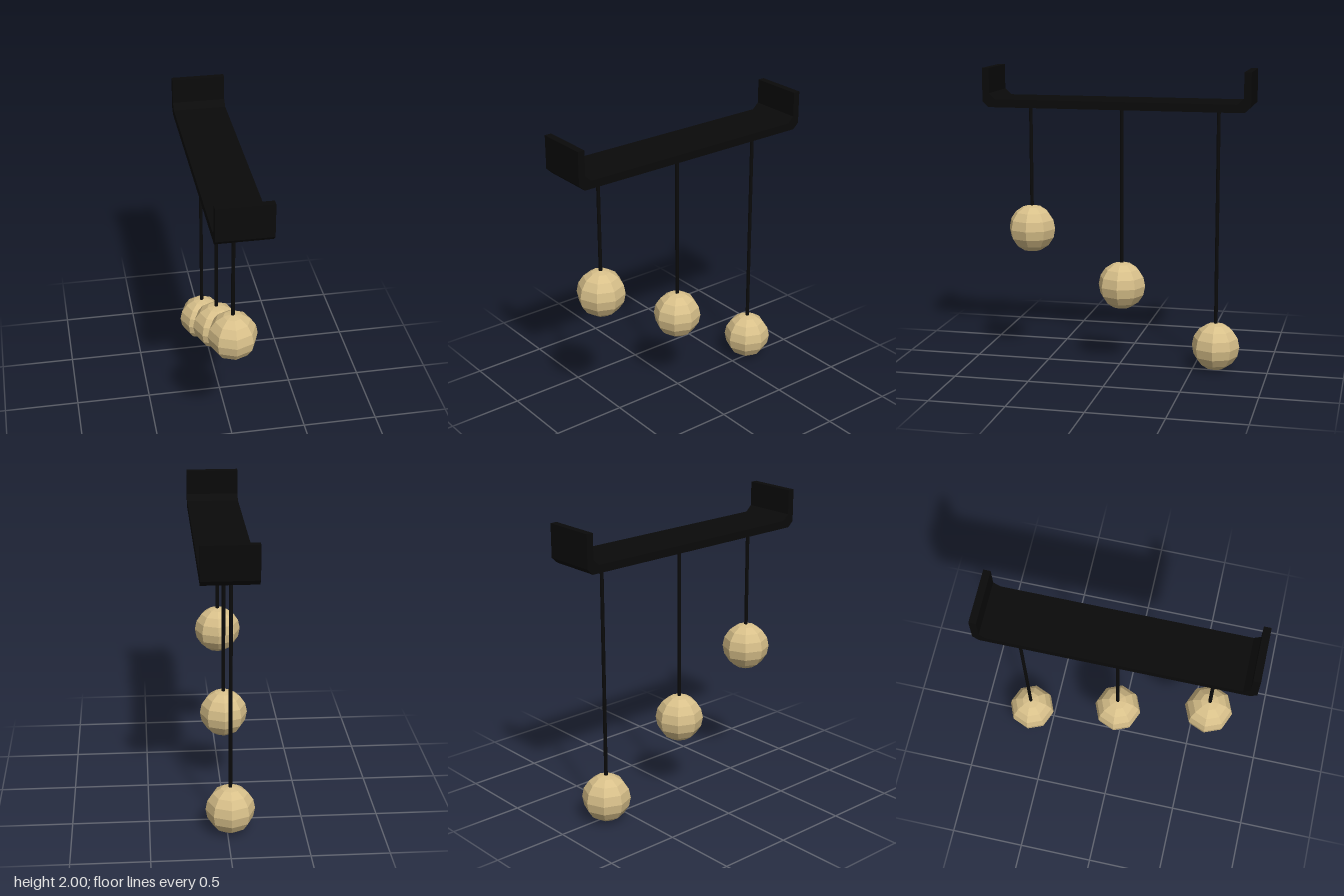
import * as THREE from 'three';

const black = new THREE.MeshStandardMaterial({ color: 0x0a0a0a, flatShading: true });
const sand = new THREE.MeshStandardMaterial({ color: 0xd8c08a, flatShading: true });

// Ceiling tray: chamfered U profile drawn in (z, y), extruded across x
function createTray() {
  const half = [[0.84, 1.745], [0.88, 1.783], [0.88, 2], [0.834, 2], [0.834, 1.836], [0.792, 1.797]];
  const mirrored = half.map(([z, y]) => [-z, y]).reverse();
  const shape = new THREE.Shape([...half, ...mirrored].map(([z, y]) => new THREE.Vector2(z, y)));
  const geometry = new THREE.ExtrudeGeometry(shape, { depth: 0.354, bevelEnabled: false });
  geometry.translate(0, 0, -0.177).rotateY(Math.PI / 2);
  const tray = new THREE.Mesh(geometry, black);
  tray.name = 'ceilingTray';
  return tray;
}

// Pendant: thin cord with a faceted globe at its end
function createPendant(z, y) {
  const pendant = new THREE.Group();
  pendant.name = 'pendant';
  const radius = 0.16, trayBottom = 1.76;

  const globe = new THREE.Mesh(new THREE.SphereGeometry(radius, 8, 8), sand);
  globe.name = 'globe';
  globe.position.y = y;

  const cordBottom = y + radius - 0.02;
  const length = trayBottom - cordBottom;
  const cord = new THREE.Mesh(new THREE.CylinderGeometry(0.012, 0.012, length, 8), black);
  cord.name = 'cord';
  cord.position.y = cordBottom + length / 2;

  pendant.add(globe, cord);
  pendant.position.set(-0.02, 0, z);
  return pendant;
}

export function createModel() {
  const model = new THREE.Group();
  model.name = 'pendantLamp';
  model.add(createTray());
  for (const [z, y] of [[0.61, 0.91], [-0.01, 0.545], [-0.65, 0.16]]) {
    model.add(createPendant(z, y));
  }
  return model;
}
